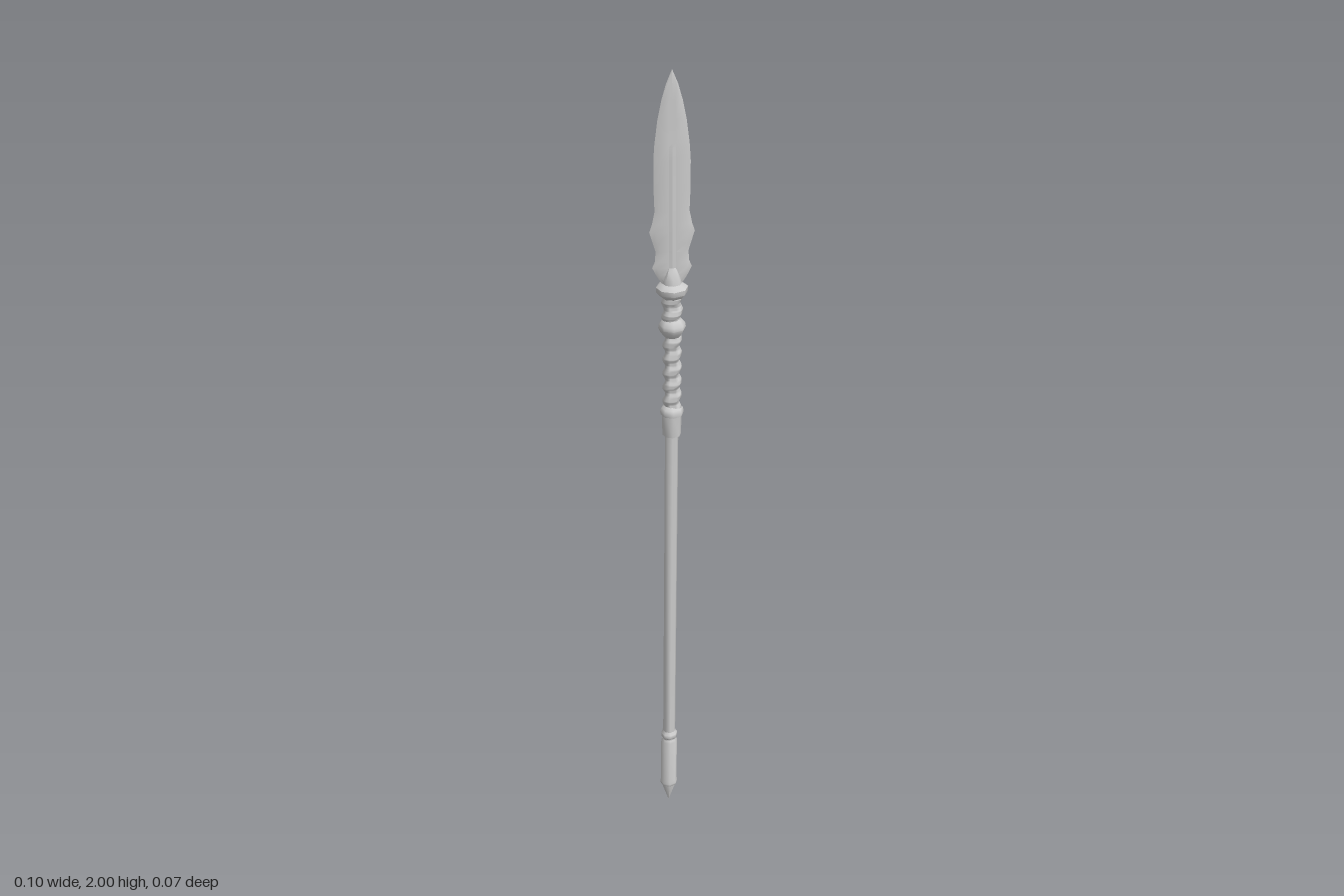
import * as THREE from 'three';
import { toCreasedNormals } from 'three/addons/utils/BufferGeometryUtils.js';

const material = new THREE.MeshStandardMaterial({ color: 0xcccccc, side: THREE.DoubleSide });

// The pole leans very slightly away from the head
function lean(geometry) {
  const p = geometry.attributes.position;
  for (let i = 0; i < p.count; i++) {
    const k = 0.011 * Math.max(0, 1 - p.getY(i) / 1.25);
    p.setX(i, p.getX(i) - k);
    p.setZ(i, p.getZ(i) + k);
  }
  return geometry;
}

function addMesh(group, name, geometry, crease = 0.9) {
  const mesh = new THREE.Mesh(toCreasedNormals(geometry, crease), material);
  mesh.name = name;
  group.add(mesh);
}

// Turned part from [radius, height] pairs
function turned(group, name, profile, sides = 8) {
  const points = profile.map(([r, y]) => new THREE.Vector2(r, y));
  addMesh(group, name, lean(new THREE.LatheGeometry(points, sides)));
}

// Grip with a single-start helical bulge
function twistedGrip(bottom, top, radius, bulge, pitch) {
  const geometry = new THREE.CylinderGeometry(radius, radius, top - bottom, 16, 48, true);
  geometry.translate(0, (top + bottom) / 2, 0);
  const p = geometry.attributes.position;
  for (let i = 0; i < p.count; i++) {
    const x = p.getX(i), y = p.getY(i), z = p.getZ(i);
    const s = 1 + (bulge / radius) * Math.cos(Math.atan2(x, z) - (y * Math.PI * 2) / pitch);
    p.setX(i, x * s);
    p.setZ(i, z * s);
  }
  return lean(geometry);
}

// Blade lofted from [height, half width, half thickness, rib height]
function bladeGeometry(rows) {
  const positions = [], index = [];
  const count = 12;
  for (const [y, w, t, rib] of rows) {
    const r = Math.min(0.008, w * 0.3);
    const half = [
      [w, 0], [w * 0.75, t * 0.6], [r, t],
      [r * 0.6, t + rib], [-r * 0.6, t + rib], [-r, t], [-w * 0.75, t * 0.6],
    ];
    const loop = [...half, [-w, 0], ...half.slice(1).reverse().map(([x, z]) => [x, -z])];
    // Merge the two flat rib corners into one crest per face
    const section = loop.filter((_, i) => i !== 4 && i !== 10);
    section.forEach(([x, z], i) => {
      const crest = i === 3 || i === 9;
      positions.push(crest ? 0 : x, y, z);
    });
  }
  for (let j = 0; j < rows.length - 1; j++) {
    for (let i = 0; i < count; i++) {
      const a = j * count + i, b = j * count + ((i + 1) % count);
      index.push(a, a + count, b, b, a + count, b + count);
    }
  }
  const geometry = new THREE.BufferGeometry();
  geometry.setAttribute('position', new THREE.Float32BufferAttribute(positions, 3));
  geometry.setIndex(index);
  return geometry;
}

export function createModel() {
  const group = new THREE.Group();
  group.name = 'spear';

  // Pole and its pointed foot
  turned(group, 'shaft', [[0.016, 0.2], [0.016, 1.15]]);
  turned(group, 'buttSpike', [[0.0005, 0], [0.019, 0.057], [0.019, 0.07]]);
  turned(group, 'buttSleeve', [
    [0.016, 0.055], [0.022, 0.06], [0.023, 0.067], [0.021, 0.075],
    [0.021, 0.205], [0.018, 0.213],
  ]);
  turned(group, 'buttRing', [[0.016, 0.214], [0.021, 0.22], [0.021, 0.23], [0.016, 0.238]]);

  // Collar below the grip
  turned(group, 'collar', [[0.016, 1.125], [0.022, 1.125], [0.024, 1.182], [0.016, 1.182]]);
  turned(group, 'collarRing', [
    [0.018, 1.176], [0.027, 1.18], [0.028, 1.189], [0.025, 1.197], [0.016, 1.203],
  ]);

  // Spiral grip and neck
  addMesh(group, 'twistedGrip', twistedGrip(1.19, 1.4, 0.0195, 0.0035, 0.036), 1.2);
  turned(group, 'middleRing', [
    [0.019, 1.382], [0.027, 1.393], [0.032, 1.404], [0.031, 1.413], [0.024, 1.422], [0.018, 1.428],
  ]);
  addMesh(group, 'twistedNeck', twistedGrip(1.41, 1.49, 0.022, 0.003, 0.036), 1.2);
  turned(group, 'headRing', [
    [0.018, 1.475], [0.027, 1.482], [0.036, 1.492], [0.037, 1.504], [0.028, 1.511], [0.016, 1.517],
  ]);

  // Socket with tapering tongues that hold the blade
  turned(group, 'bladeSocket', [[0.024, 1.505], [0.021, 1.525], [0.014, 1.545], [0.001, 1.57]]);
  for (const side of [1, -1]) {
    const tongue = new THREE.ConeGeometry(0.009, 0.07, 6);
    tongue.scale(1, 1, 0.5).rotateZ(-side * 0.25).translate(side * 0.021, 1.535, 0);
    addMesh(group, side > 0 ? 'leftTongue' : 'rightTongue', tongue);
  }

  // Leaf blade with waisted lugs and a raised central rib
  addMesh(group, 'blade', bladeGeometry([
    [1.505, 0.018, 0.007, 0.003],
    [1.522, 0.029, 0.007, 0.003],
    [1.535, 0.037, 0.007, 0.003],
    [1.552, 0.045, 0.007, 0.003],
    [1.566, 0.039, 0.007, 0.003],
    [1.59, 0.037, 0.007, 0.003],
    [1.61, 0.043, 0.007, 0.003],
    [1.637, 0.051, 0.007, 0.003],
    [1.655, 0.045, 0.007, 0.003],
    [1.685, 0.039, 0.007, 0.003],
    [1.74, 0.041, 0.0065, 0.003],
    [1.8, 0.041, 0.006, 0.003],
    [1.832, 0.039, 0.006, 0.003],
    [1.842, 0.038, 0.006, 0.0005],
    [1.89, 0.032, 0.005, 0.0005],
    [1.935, 0.023, 0.004, 0.0004],
    [1.97, 0.013, 0.003, 0.0003],
    [2, 0.0005, 0.0003, 0.0001],
  ]), 0.5);

  return group;
}
